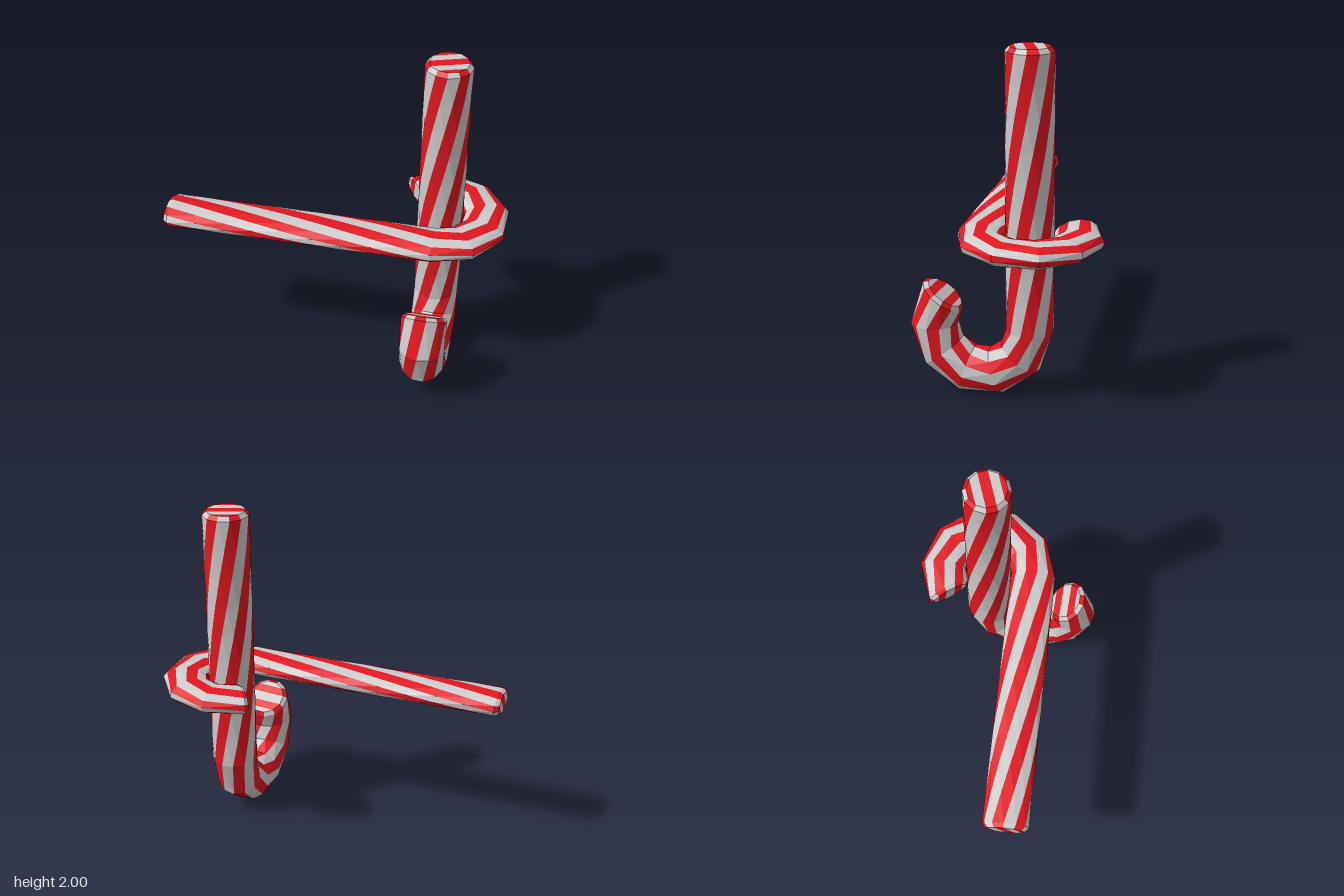
import * as THREE from 'three';

const SIDES = 12, R = 0.137, BEND = 0.278, LENGTH = 1.605, SEGMENTS = 9, HOOK_SEGMENTS = 6;
const BEVEL = 0.025, CAP_SCALE = 0.83;
const rad = THREE.MathUtils.degToRad;

// One ring of the stick: centre (x, z), heading, radius and twist in degrees
function ring(x, z, heading, radius, twist) {
  const points = [];
  for (let k = 0; k < SIDES; k++) {
    const t = rad((k - 0.5) * 360 / SIDES - 4 - twist);
    const out = radius * Math.cos(t);
    points.push([x + out * Math.sin(heading), -radius * Math.sin(t), z + out * Math.cos(heading)]);
  }
  return points;
}

// Ring on the hook arc, pushed forward along the path by `ahead`
function hookRing(angle, radius, twist, ahead = 0) {
  const s = Math.sin(angle), c = Math.cos(angle);
  return ring(BEND * s + ahead * c, BEND * c - ahead * s, angle, radius, twist);
}

// Straight along +x, then hooked towards -z around the origin, twisting all the way
function caneRings() {
  const twist = (i) => 15 * (SEGMENTS + HOOK_SEGMENTS - i);
  const straight = LENGTH - BEVEL;
  const rings = [ring(-LENGTH, BEND, 0, R * CAP_SCALE, twist(0))];
  for (let i = 0; i < SEGMENTS; i++) {
    rings.push(ring(-straight * (1 - i / SEGMENTS), BEND, 0, R, twist(i)));
  }
  for (let i = 0; i <= HOOK_SEGMENTS; i++) {
    rings.push(hookRing(rad(36 * i), R, twist(SEGMENTS + i)));
  }
  rings.push(hookRing(rad(36 * HOOK_SEGMENTS), R * CAP_SCALE, 0, 0.02));
  return rings;
}

function createCane(name) {
  const stripes = { red: [], grey: [] };
  const quad = (isRed, a, b, c, d) =>
    stripes[isRed ? 'red' : 'grey'].push(...a, ...b, ...d, ...b, ...c, ...d);
  const rings = caneRings();

  // Striped sides
  for (let i = 0; i < rings.length - 1; i++) {
    for (let k = 0; k < SIDES; k++) {
      const n = (k + 1) % SIDES;
      quad(k % 2 === 0, rings[i][k], rings[i][n], rings[i + 1][n], rings[i + 1][k]);
    }
  }

  // End caps made of parallel strips
  const cap = (points, edge, flip) => {
    const at = (i) => points[(i + SIDES) % SIDES];
    for (let j = 0; j < SIDES / 2 - 1; j++) {
      const corners = [at(edge - j), at(edge + 1 + j), at(edge + 2 + j), at(edge - j - 1)];
      if (flip) corners.reverse();
      quad((edge + j) % 2 === 1, ...corners);
    }
  };
  cap(rings[0], 7, true);
  cap(rings[rings.length - 1], 0, false);

  const cane = new THREE.Group();
  cane.name = name;
  for (const [key, color] of [['red', 0xe4161f], ['grey', 0xcccccc]]) {
    const geometry = new THREE.BufferGeometry();
    geometry.setAttribute('position', new THREE.Float32BufferAttribute(stripes[key], 3));
    geometry.computeVertexNormals();
    const mesh = new THREE.Mesh(geometry, new THREE.MeshStandardMaterial({ color, flatShading: true }));
    mesh.name = key + 'Stripes';
    cane.add(mesh);
  }
  return cane;
}

export function createModel() {
  const model = new THREE.Group();
  model.name = 'crossedCandyCanes';

  // Upright cane: hook at the bottom, opening to the front
  const upright = createCane('uprightCane');
  upright.quaternion.setFromRotationMatrix(new THREE.Matrix4().makeBasis(
    new THREE.Vector3(0, -1, 0), new THREE.Vector3(-1, 0, 0), new THREE.Vector3(0, 0, -1)));
  upright.position.set(0.605, 0.395, 0.14);

  // Lying cane: flattened, its hook wraps behind the upright one
  const lying = createCane('lyingCane');
  lying.scale.y = 0.5;
  lying.position.set(0.605, 0.935, -0.14);

  model.add(upright, lying);
  return model;
}
